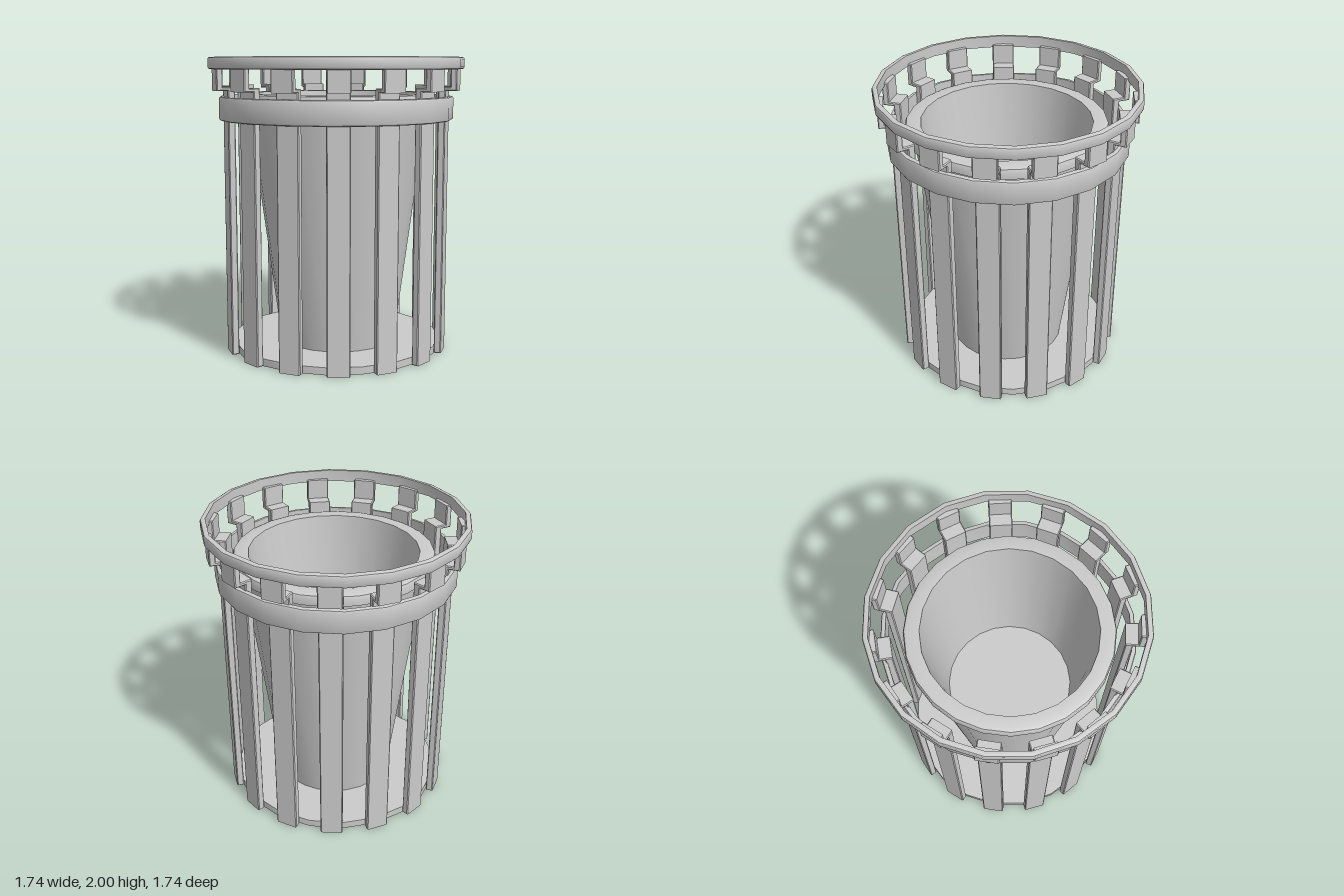
import * as THREE from 'three';
import { toCreasedNormals } from 'three/addons/utils/BufferGeometryUtils.js';

const SLATS = 15;

export function createModel() {
  const group = new THREE.Group();
  const material = new THREE.MeshStandardMaterial({ color: 0xcccccc });

  const add = (name, geometry) => {
    const mesh = new THREE.Mesh(geometry, material);
    mesh.name = name;
    group.add(mesh);
    return mesh;
  };

  // Turned part: profile runs up the outside and back down the inside
  const turned = (name, profile, sides) => {
    const points = profile.map(([r, y]) => new THREE.Vector2(r, y));
    return add(name, toCreasedNormals(new THREE.LatheGeometry(points, sides), 0.6));
  };

  // Hoop with softened outer edges
  const hoop = (name, inner, outer, y0, y1, b) => turned(name, [
    [inner, y0], [outer - b, y0], [outer - b * 0.3, y0 + b * 0.3], [outer, y0 + b],
    [outer, y1 - b], [outer - b * 0.3, y1 - b * 0.3], [outer - b, y1], [inner, y1], [inner, y0],
  ], 20);

  hoop('topRing', 0.835, 0.87, 1.92, 2, 0.015);
  hoop('band', 0.77, 0.8, 1.58, 1.74, 0.015);

  // Base plate
  turned('base', [[0, 0], [0.725, 0], [0.725, 0.05], [0, 0.05]], 20);

  // Tapered inner bin with a rolled lip, set slightly forward
  const bin = turned('bin', [
    [0, 0.05], [0.4, 0.05], [0.615, 1.69], [0.665, 1.69], [0.665, 1.735],
    [0.658, 1.753], [0.64, 1.76], [0.562, 1.76], [0.435, 0.79], [0, 0.79],
  ], 24);
  bin.position.z = 0.018;

  // Slats: upright, stepping outward near the top to carry the ring
  const bevel = 0.006;
  const profile = [
    [0.72, 0], [0.768, 0], [0.768, 1.78], [0.842, 1.78],
    [0.842, 1.94], [0.8, 1.94], [0.8, 1.805], [0.72, 1.805],
  ];
  const shape = new THREE.Shape(profile.map(([r, y]) => new THREE.Vector2(r, y)));
  const width = 0.15;
  const slatGeometry = new THREE.ExtrudeGeometry(shape, {
    depth: width - 2 * bevel, bevelEnabled: true, bevelSegments: 1,
    bevelSize: bevel, bevelThickness: bevel, bevelOffset: -bevel,
  });
  slatGeometry.translate(0, 0, -width / 2 + bevel);
  for (let i = 0; i < SLATS; i++) {
    const slat = add('slat', slatGeometry);
    slat.rotation.y = -Math.PI / 2 + (i * 2 * Math.PI) / SLATS;
  }

  return group;
}
